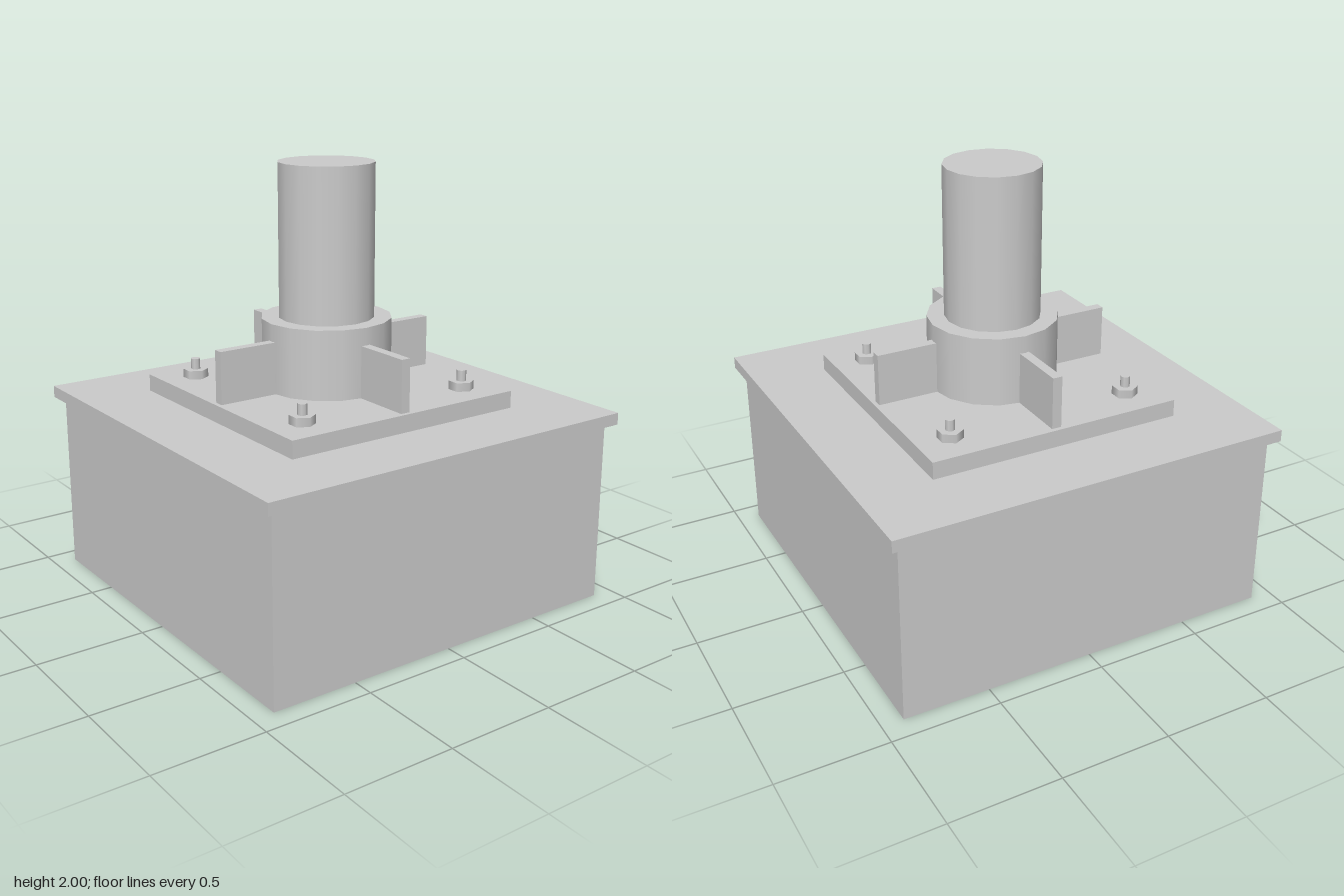
import * as THREE from 'three';

export function createModel() {
  const group = new THREE.Group();
  const material = new THREE.MeshStandardMaterial({ color: 0xcccccc });

  // Adds a part whose underside is at y0 and top at y1
  function add(name, geometry, y0, y1, x = 0, z = 0) {
    const mesh = new THREE.Mesh(geometry, material);
    mesh.name = name;
    mesh.position.set(x, (y0 + y1) / 2, z);
    group.add(mesh);
    return mesh;
  }
  const block = (name, w, d, y0, y1, x, z) =>
    add(name, new THREE.BoxGeometry(w, y1 - y0, d), y0, y1, x, z);
  const round = (name, r, sides, y0, y1, x, z) =>
    add(name, new THREE.CylinderGeometry(r, r, y1 - y0, sides), y0, y1, x, z);

  // Foundation block, overhanging cap and base plate
  block('foundation', 1.8, 1.8, 0, 0.85);
  block('cap', 1.88, 1.88, 0.845, 0.9);
  block('basePlate', 1.2, 1.2, 0.9, 0.98);

  // Column standing in a collar
  round('collar', 0.3, 16, 0.98, 1.3);
  round('column', 0.22, 16, 0.98, 2);

  // Stiffener ribs on four sides of the collar
  const inner = 0.28, outer = 0.58, thickness = 0.045;
  const length = outer - inner, middle = (outer + inner) / 2;
  for (const s of [-1, 1]) {
    block('sideRib', length, thickness, 0.98, 1.22, s * middle, 0);
    block(s > 0 ? 'frontRib' : 'backRib', thickness, length, 0.98, 1.22, 0, s * middle);
  }

  // Anchor bolts with hexagonal nuts at the plate corners
  for (const x of [-0.44, 0.44]) {
    for (const z of [-0.44, 0.44]) {
      round('nut', 0.058, 6, 0.98, 1.02, x, z).rotation.y = Math.PI / 6;
      round('anchorBolt', 0.022, 8, 0.98, 1.07, x, z);
    }
  }
  return group;
}
